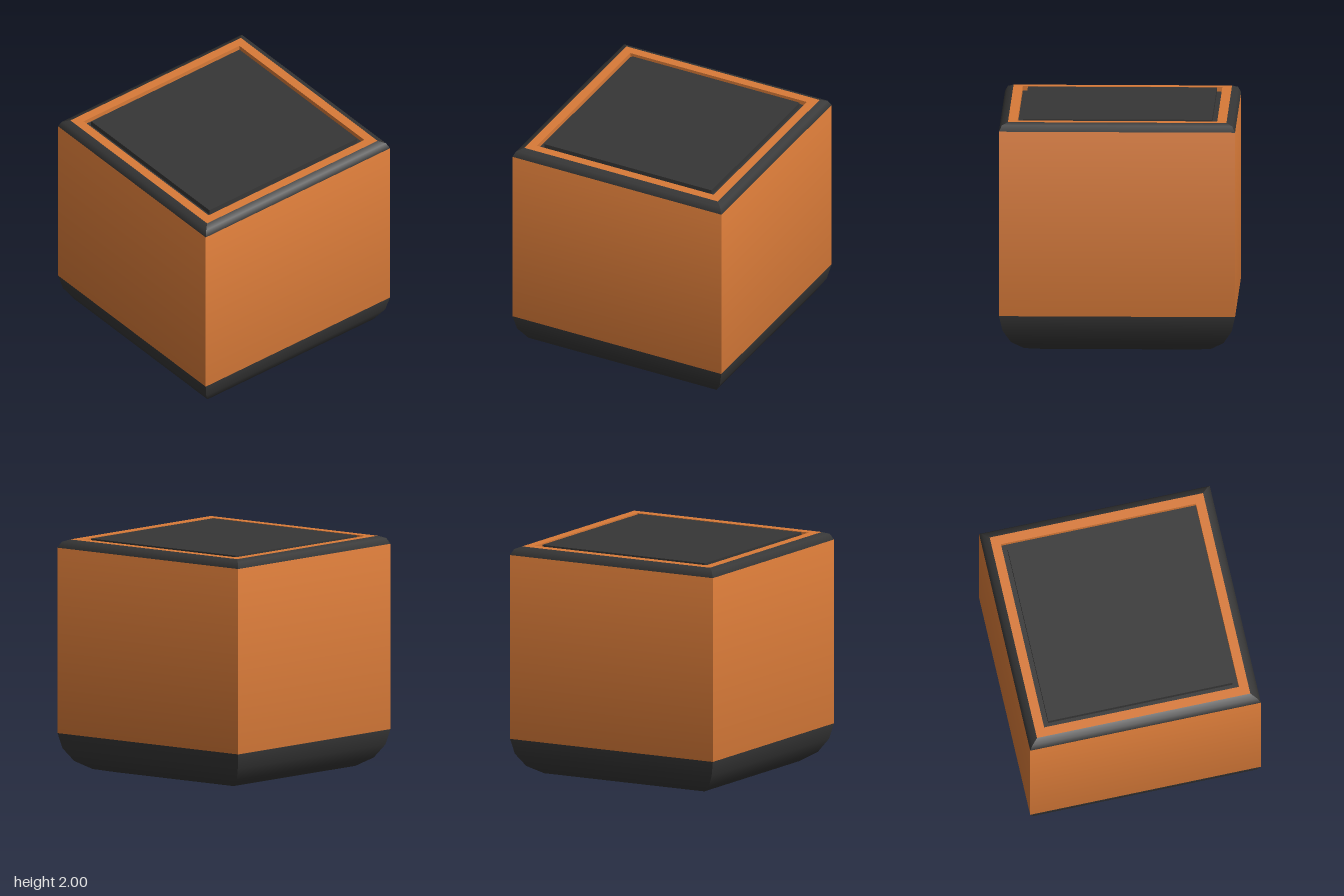
import * as THREE from 'three';

const orange = new THREE.MeshStandardMaterial({ color: 0xd87a38 });
orange.name = 'orange';
const charcoal = new THREE.MeshStandardMaterial({ color: 0x363636 });
charcoal.name = 'charcoal';

// Shell profile from the underside up: [half width, height]
const profile = [
  [0, 0], [0.65, 0], [0.79, 0.03], [0.9, 0.1], [0.97, 0.21],
  [1, 0.34], [1, 1.925], [0.975, 1.975], [0.925, 1.995],
];

// Normal at a profile point, averaged over the segments that meet there
function profileNormal(i) {
  const sum = new THREE.Vector2();
  for (const j of [i - 1, i]) {
    if (j < 0 || j >= profile.length - 1) continue;
    const [h0, y0] = profile[j], [h1, y1] = profile[j + 1];
    sum.add(new THREE.Vector2(y1 - y0, h0 - h1).normalize());
  }
  return sum.normalize();
}

// Square band of the shell: four mitred sides, smooth in height, sharp at the corners
function squareBand(from, to) {
  const positions = [], normals = [], indices = [];
  const up = new THREE.Vector3(0, 1, 0);
  for (let side = 0; side < 4; side++) {
    const turn = side * Math.PI / 2;
    for (let i = from; i <= to; i++) {
      const [h, y] = profile[i];
      const n = profileNormal(i);
      const normal = new THREE.Vector3(0, n.y, n.x).applyAxisAngle(up, turn);
      for (const s of [-1, 1]) {
        positions.push(...new THREE.Vector3(s * h, y, h).applyAxisAngle(up, turn).toArray());
        normals.push(...normal.toArray());
      }
      if (i < to) {
        const a = positions.length / 3 - 2;
        indices.push(a, a + 1, a + 3, a, a + 3, a + 2);
      }
    }
  }
  const geometry = new THREE.BufferGeometry();
  geometry.setAttribute('position', new THREE.Float32BufferAttribute(positions, 3));
  geometry.setAttribute('normal', new THREE.Float32BufferAttribute(normals, 3));
  geometry.setIndex(indices);
  return geometry;
}

function squareOutline(Type, h) {
  return new Type([[-h, -h], [h, -h], [h, h], [-h, h]].map(([x, y]) => new THREE.Vector2(x, y)));
}

export function createModel() {
  const group = new THREE.Group();
  const add = (name, geometry, material, y = 0) => {
    const mesh = new THREE.Mesh(geometry, material);
    mesh.name = name;
    mesh.position.y = y;
    group.add(mesh);
  };

  // Outer shell
  add('roundedBase', squareBand(0, 5), charcoal);
  add('bodyWalls', squareBand(5, 6), orange);
  add('topRim', squareBand(6, 8), charcoal);

  // Flat frame set inside the rim
  const frame = squareOutline(THREE.Shape, 0.925);
  frame.holes.push(squareOutline(THREE.Path, 0.845));
  const frameGeometry = new THREE.ExtrudeGeometry(frame, { depth: 0.04, bevelEnabled: false });
  frameGeometry.rotateX(-Math.PI / 2);
  add('topFrame', frameGeometry, orange, 1.955);

  // Groove floor and the raised lid panel
  add('grooveFloor', new THREE.BoxGeometry(1.69, 0.02, 1.69), charcoal, 1.946);
  add('lidPanel', new THREE.BoxGeometry(1.6, 0.044, 1.6), charcoal, 1.978);

  return group;
}
